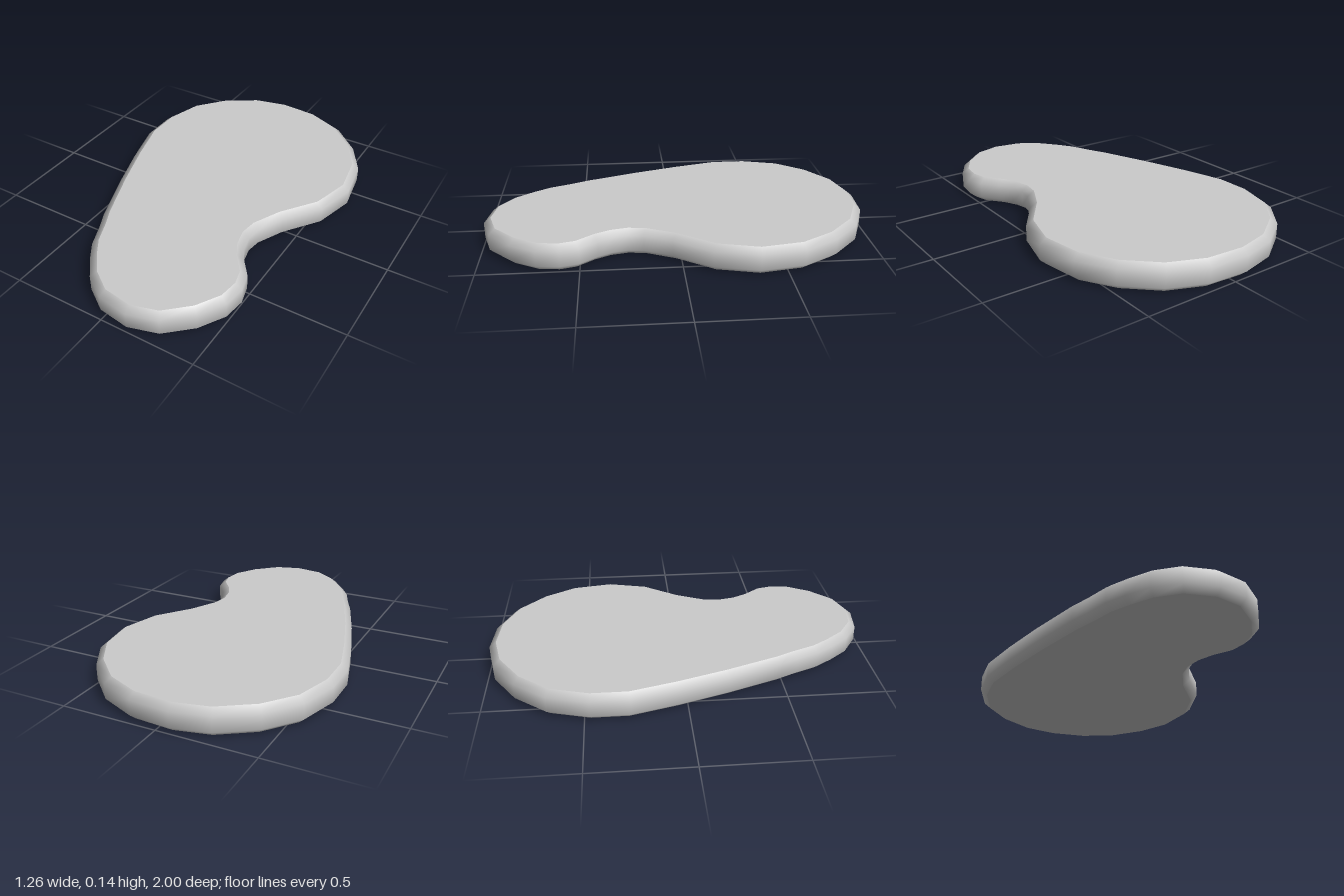
import * as THREE from 'three';

// Outline of the slab as [x, z], clockwise seen from above
const OUTLINE = [
  [-0.07, -1], [0.14, -0.985], [0.33, -0.905], [0.485, -0.76], [0.59, -0.585], [0.627, -0.36],
  [0.57, -0.14], [0.437, 0.045], [0.37, 0.185], [0.36, 0.26], [0.378, 0.34], [0.415, 0.41],
  [0.485, 0.5], [0.51, 0.595], [0.495, 0.71], [0.42, 0.838], [0.295, 0.953], [0.145, 0.997],
  [-0.02, 0.972], [-0.14, 0.89], [-0.22, 0.79], [-0.28, 0.7], [-0.33, 0.58], [-0.375, 0.487],
  [-0.48, 0.21], [-0.563, -0.04], [-0.63, -0.28], [-0.63, -0.475], [-0.57, -0.68],
  [-0.44, -0.84], [-0.26, -0.957],
];

// Edge profile as [inset, height], bottom to top
const PROFILE = [[0.036, 0.002], [0, 0.033], [0, 0.112], [0.036, 0.141]];

// Outline moved inwards along the local normal
function insetOutline(d) {
  const n = OUTLINE.length;
  return OUTLINE.map(([x, z], i) => {
    const [px, pz] = OUTLINE[(i + n - 1) % n];
    const [qx, qz] = OUTLINE[(i + 1) % n];
    const t = new THREE.Vector2(qx - px, qz - pz).normalize();
    return new THREE.Vector2(x - t.y * d, z + t.x * d);
  });
}

// Rounded side wall, smooth all the way round
function wallGeometry() {
  const n = OUTLINE.length, pos = [], index = [];
  PROFILE.forEach(([d, y], r) => {
    insetOutline(d).forEach((p, i) => {
      pos.push(p.x, y, p.y);
      if (r === PROFILE.length - 1) return;
      const a = r * n + i, b = r * n + ((i + 1) % n);
      index.push(a, a + n, b, b, a + n, b + n);
    });
  });
  const geo = new THREE.BufferGeometry();
  geo.setAttribute('position', new THREE.Float32BufferAttribute(pos, 3));
  geo.setIndex(index);
  geo.computeVertexNormals();
  return geo;
}

// Flat face closing the wall; side is 1 for the top and -1 for the bottom
function capGeometry([d, y], side) {
  const pts = insetOutline(d).map((p) => new THREE.Vector2(p.x, -side * p.y));
  return new THREE.ShapeGeometry(new THREE.Shape(pts))
    .rotateX(-side * Math.PI / 2)
    .translate(0, y, 0);
}

export function createModel() {
  const group = new THREE.Group();
  group.name = 'kidneySlab';
  const material = new THREE.MeshStandardMaterial({ color: 0xcccccc });
  const add = (name, geometry) => {
    const mesh = new THREE.Mesh(geometry, material);
    mesh.name = name;
    group.add(mesh);
  };
  add('sideWall', wallGeometry());
  add('topFace', capGeometry(PROFILE[PROFILE.length - 1], 1));
  add('bottomFace', capGeometry(PROFILE[0], -1));
  return group;
}
